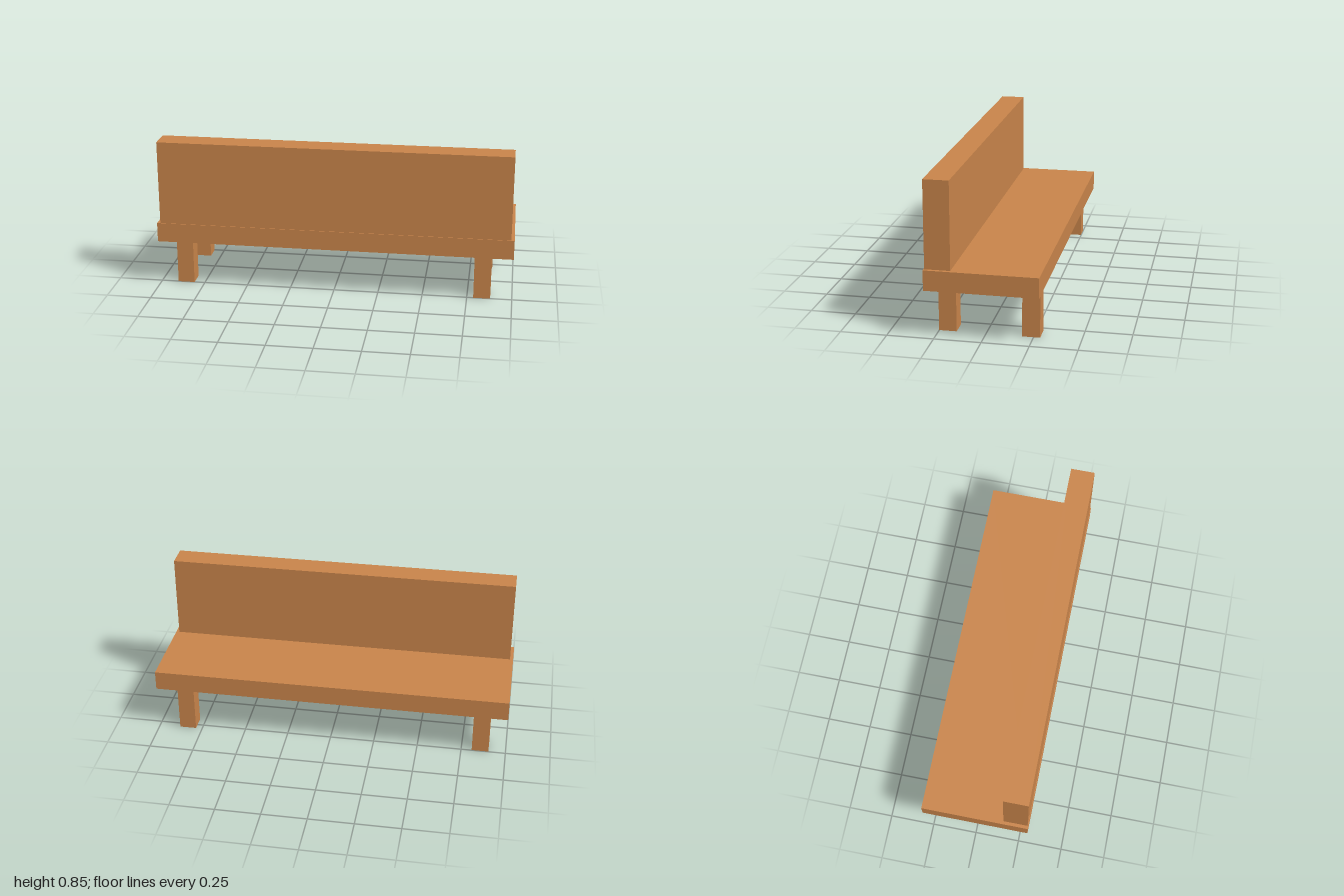
import * as THREE from 'three';

export function createModel() {
  const group = new THREE.Group();
  const wood = new THREE.MeshStandardMaterial({ color: 0xc8844a });

  // Box given by its lowest and highest corners
  function addBox(name, min, max) {
    const size = max.map((v, i) => v - min[i]);
    const mesh = new THREE.Mesh(new THREE.BoxGeometry(...size), wood);
    mesh.position.set(...max.map((v, i) => (v + min[i]) / 2));
    mesh.name = name;
    group.add(mesh);
  }

  const seatBottom = 0.261, seatTop = 0.371, legWidth = 0.094;

  addBox('seat', [-1, seatBottom, -0.3], [1, seatTop, 0.3]);
  addBox('backrest', [-0.982, seatTop, 0.16], [0.982, 0.846, 0.296]);

  // Four square legs, placed slightly unevenly
  const legs = [
    ['frontLeftLeg', 0.833, 0.204],
    ['frontRightLeg', -0.857, 0.204],
    ['backLeftLeg', 0.833, -0.238],
    ['backRightLeg', -0.857, -0.201],
  ];
  const h = legWidth / 2;
  for (const [name, x, z] of legs) {
    addBox(name, [x - h, 0, z - h], [x + h, seatBottom, z + h]);
  }

  return group;
}
